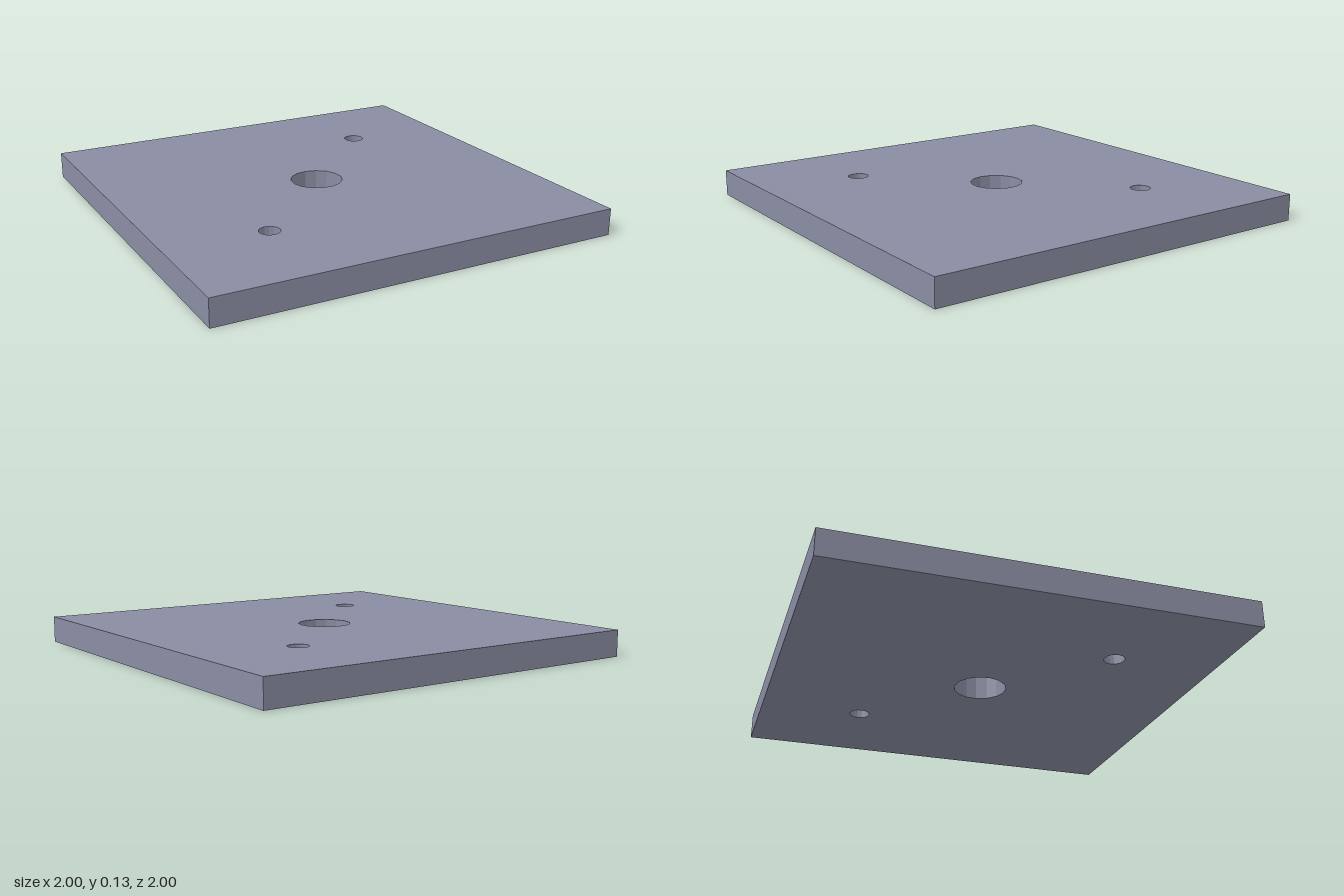
import * as THREE from 'three';

const THICKNESS = 0.13;

// Polygonal hole outline, wound clockwise from its first corner at the upper left
function hole(x, y, radius, sides) {
  const points = [];
  for (let i = 0; i < sides; i++) {
    const a = Math.PI * 0.75 - i / sides * Math.PI * 2;
    points.push(new THREE.Vector2(x + radius * Math.cos(a), y + radius * Math.sin(a)));
  }
  return new THREE.Path(points);
}

export function createModel() {
  const group = new THREE.Group();
  group.name = 'mountingPlate';

  // Square outline
  const outline = new THREE.Shape([
    new THREE.Vector2(-1, -1),
    new THREE.Vector2(1, -1),
    new THREE.Vector2(1, 1),
    new THREE.Vector2(-1, 1),
  ]);

  // Central bore and two diagonal bolt holes
  outline.holes.push(hole(0, 0, 0.128, 15));
  for (const s of [-1, 1]) outline.holes.push(hole(s * 0.5, s * 0.5, 0.05, 16));

  // Extrude upwards from the ground
  const geometry = new THREE.ExtrudeGeometry(outline, { depth: THICKNESS, bevelEnabled: false });
  geometry.rotateX(-Math.PI / 2);

  const plate = new THREE.Mesh(
    geometry,
    new THREE.MeshStandardMaterial({ color: 0x8a8da3, flatShading: true })
  );
  plate.name = 'plate';
  group.add(plate);
  return group;
}
